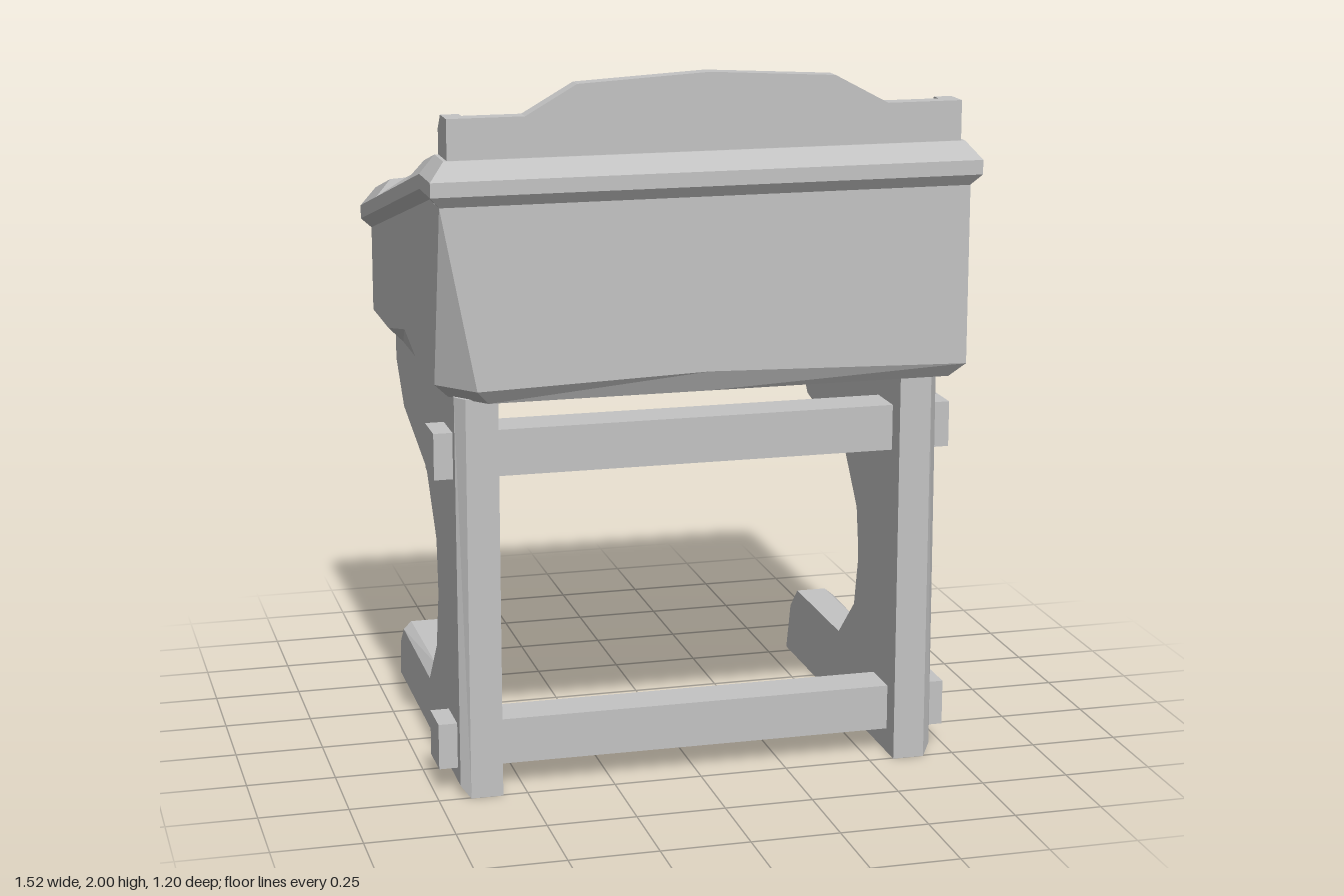
import * as THREE from 'three';

const grey = new THREE.MeshStandardMaterial({ color: 0xc4c4c4, flatShading: true });
grey.name = 'plain grey';

// Joins rings of [x,y,z] points along +axis (counter-clockwise seen from +axis) and caps the ends
function loft(rings, axis) {
  const plane = { x: [1, 2], y: [2, 0], z: [0, 1] }[axis];
  const n = rings[0].length, idx = [];
  for (let i = 0; i < rings.length - 1; i++) {
    for (let j = 0; j < n; j++) {
      const k = (j + 1) % n, a = i * n + j, b = i * n + k, c = a + n, d = b + n;
      idx.push(a, b, d, a, d, c);
    }
  }
  const cap = (r, flip) => {
    const flat = rings[r].map((p) => new THREE.Vector2(p[plane[0]], p[plane[1]]));
    for (const [a, b, c] of THREE.ShapeUtils.triangulateShape(flat, [])) {
      idx.push(...(flip ? [a, c, b] : [a, b, c]).map((v) => v + r * n));
    }
  };
  cap(0, true);
  cap(rings.length - 1, false);
  const g = new THREE.BufferGeometry();
  g.setAttribute('position', new THREE.Float32BufferAttribute(rings.flat(2), 3));
  g.setIndex(idx);
  const out = g.toNonIndexed();
  out.computeVertexNormals();
  return out;
}

const FLAT_END = 0.44;
const lidTop = (z) => 1.79 - Math.max(0, FLAT_END - z) * 0.2525;

// Plan outline of the lid at a given half width, following the slope
function lidRing(x, front, back, drop, notch = 0) {
  const side = [[x, front], [x, FLAT_END], [x, 0.28], [x - notch, 0.23],
    [x - notch, -0.25], [x, -0.28], [x, back]];
  const clamp = (z) => Math.min(front, Math.max(back, z));
  const right = side.map(([px, z]) => [px, clamp(z)]);
  const left = right.map(([px, z]) => [-px, z]).reverse();
  return [...right, [0, back], ...left, [0, front]].map(([px, z]) => [px, lidTop(z) - drop, z]);
}

export function createModel() {
  const model = new THREE.Group();
  const add = (name, geometry, x = 0, y = 0, z = 0) => {
    const mesh = new THREE.Mesh(geometry, grey);
    mesh.name = name;
    mesh.position.set(x, y, z);
    model.add(mesh);
    return mesh;
  };

  // Cabinet: bevelled bottom edge, sloping top, one worn corner
  const plan = [[0.735, 0.575], [0.735, FLAT_END], [0.735, 0.23], [0.735, 0], [0.735, -0.28],
    [0.735, -0.55], [0, -0.55], [-0.735, -0.55], [-0.735, -0.28], [-0.735, 0], [-0.735, 0.23],
    [-0.735, FLAT_END], [-0.735, 0.575], [-0.735, 0.575], [0, 0.575]];
  const worn = plan.map((p) => [...p]);
  worn[12] = [-0.735, 0.46];
  worn[13] = [-0.64, 0.575];
  const base = worn.map(([x, z]) => [x * 0.945, 1.13, z * 0.95]);
  const edge = worn.map(([x, z]) => [x, x === 0 && z > 0 ? 1.19 : z === 0 ? 1.225 : 1.17, z]);
  const rim = plan.map(([x, z]) => [x, lidTop(z) - 0.12, z]);
  add('cabinet', loft([base, edge, rim], 'y'));

  // Lid: chamfered rim, flat shelf, sloping frame and sunken writing panel
  add('lid', loft([
    lidRing(0.73, 0.572, -0.548, 0.125),
    lidRing(0.762, 0.597, -0.578, 0.09),
    lidRing(0.762, 0.597, -0.578, 0.05),
    lidRing(0.72, 0.565, -0.55, 0, 0.04),
    lidRing(0.72, FLAT_END, -0.55, 0, 0.04),
    lidRing(0.62, 0.35, -0.47, 0),
    lidRing(0.59, 0.32, -0.43, 0.022),
  ], 'y'));

  // Drawer front with two knobs
  const panel = (x, y0, y1, z) => [[x, y0, z], [x, y1, z], [-x, y1, z], [-x, y0, z]];
  add('drawerFront', loft([panel(0.655, 1.235, 1.35, -0.58), panel(0.69, 1.2, 1.385, -0.545)], 'z'));
  for (const s of [1, -1]) {
    const knob = new THREE.CylinderGeometry(0.025, 0.038, 0.03, 6);
    knob.rotateX(-Math.PI / 2);
    add('drawerKnob', knob, s * 0.53, 1.3, -0.585);
  }

  // Back board with a stepped, arched top
  const outline = [[-0.71, 1.77], [0.71, 1.77], [0.71, 1.9], [0.5, 1.9], [0.35, 1.98],
    [0, 2], [-0.36, 1.98], [-0.5, 1.9], [-0.71, 1.9]];
  const board = new THREE.Shape(outline.map(([x, y]) => new THREE.Vector2(x, y)));
  add('backBoard', new THREE.ExtrudeGeometry(board, { depth: 0.05, bevelEnabled: false }), 0, 0, 0.51);

  // Brackets at the ends of the board
  const bracket = [[1.77, 0.44], [1.86, 0.44], [1.9, 0.475], [1.9, 0.515], [1.77, 0.515]];
  for (const x of [-0.71, 0.66]) {
    add('boardBracket', loft([x, x + 0.05].map((px) => bracket.map(([y, z]) => [px, y, z])), 'x'));
  }

  // Curved legs, bevelled on the outside, as [z, y] outlines
  const full = [[-0.54, 0], [-0.5, 0.15], [-0.43, 0.22], [-0.01, 0.22], [0.13, 0.35], [0.16, 0.49],
    [0.16, 0.52], [0.157, 0.55], [0.14, 0.65], [0.01, 0.81], [-0.35, 0.88], [-0.47, 1.03],
    [-0.47, 1.135], [0.505, 1.135], [0.505, 0]];
  const inset = [[-0.49, 0.04], [-0.48, 0.14], [-0.42, 0.2], [0.02, 0.19], [0.145, 0.33], [0.185, 0.49],
    [0.185, 0.52], [0.182, 0.55], [0.17, 0.655], [0.03, 0.825], [-0.33, 0.92], [-0.45, 1.04],
    [-0.45, 1.135], [0.47, 1.135], [0.48, 0.03]];
  for (const s of [1, -1]) {
    const outer = inset.map((p) => [...p]);
    if (s > 0) outer[6] = [0.38, 0.52]; // split in one leg
    const rings = [[0.57, full], [0.66, full], [0.685, outer]]
      .map(([x, loop]) => loop.map(([z, y]) => [s * x, y, z]));
    add(s > 0 ? 'leftLeg' : 'rightLeg', loft(s > 0 ? rings : rings.reverse(), 'x'));
  }

  // Cross rails passing through the legs
  for (const y of [0.135, 0.965]) {
    add('crossRail', new THREE.BoxGeometry(1.475, 0.13, 0.125), 0, y, 0.38);
  }
  return model;
}
